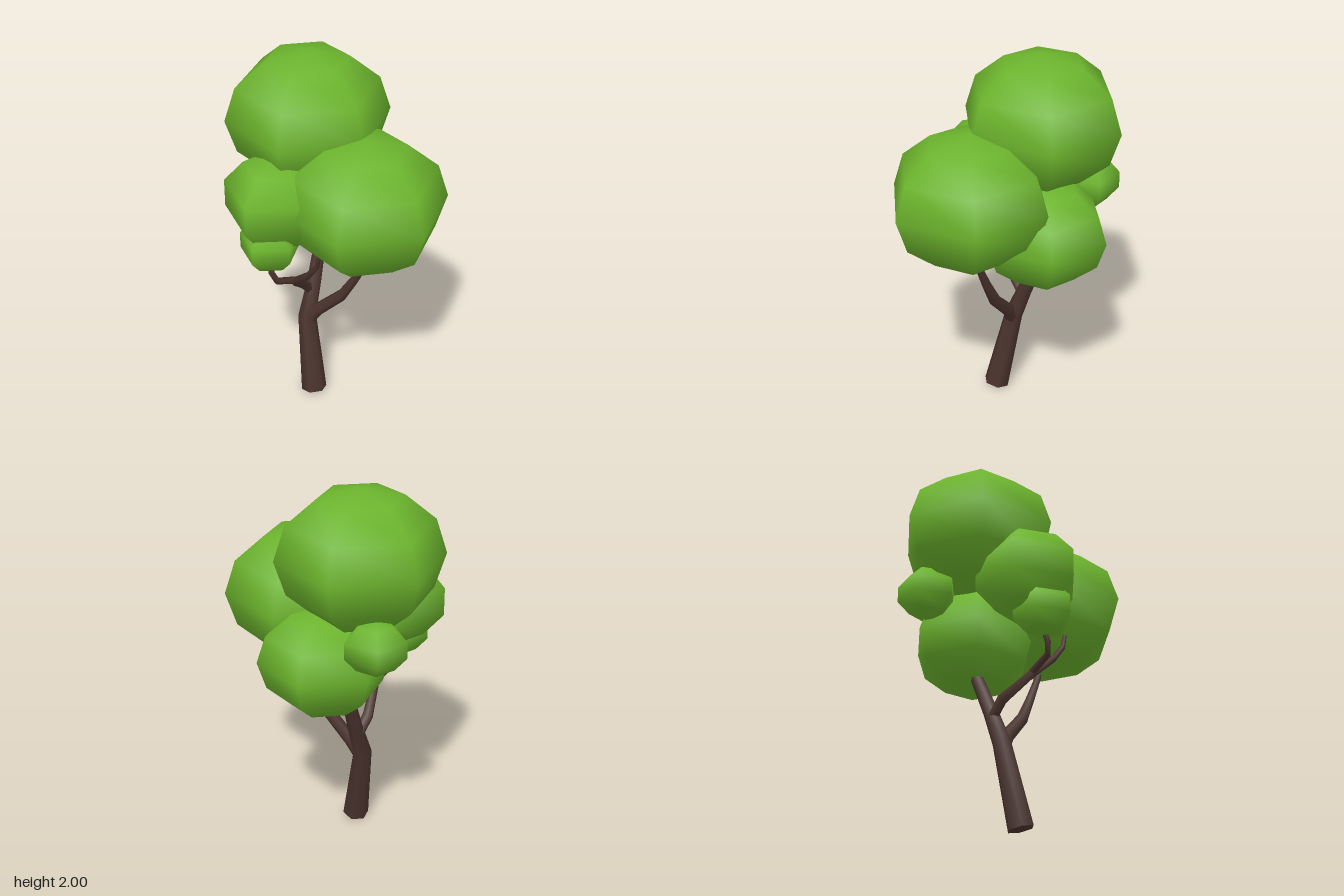
import * as THREE from 'three';

const leafGreen = new THREE.MeshStandardMaterial({ color: 0x6cb42d });
const barkBrown = new THREE.MeshStandardMaterial({ color: 0x4b342e });
leafGreen.name = 'leafGreen';
barkBrown.name = 'barkBrown';

// Tapered limb: six-sided rings swept along points [x, y, z, radius]
function limb(name, points, sides = 6) {
  const centres = points.map(([x, y, z]) => new THREE.Vector3(x, y, z));
  const last = centres.length - 1;
  const pos = [], normals = [], index = [];
  const addVertex = (p, n) => {
    pos.push(p.x, p.y, p.z);
    normals.push(n.x, n.y, n.z);
    return pos.length / 3 - 1;
  };
  const caps = [];
  centres.forEach((c, k) => {
    const t = centres[Math.min(k + 1, last)].clone().sub(centres[Math.max(k - 1, 0)]).normalize();
    const u = new THREE.Vector3(1, 0, 0).addScaledVector(t, -t.x).normalize();
    const v = t.clone().cross(u);
    const ring = [];
    for (let i = 0; i < sides; i++) {
      const a = (i / sides) * Math.PI * 2;
      const n = u.clone().multiplyScalar(Math.cos(a)).addScaledVector(v, Math.sin(a));
      const p = c.clone().addScaledVector(n, points[k][3]);
      addVertex(p, n);
      ring.push(p);
    }
    if (k === 0) caps.push({ c, ring, n: t.clone().negate(), start: true });
    if (k === last) caps.push({ c, ring, n: t, start: false });
  });
  // Side walls
  for (let k = 0; k < last; k++) {
    for (let i = 0; i < sides; i++) {
      const a = k * sides + i, b = k * sides + (i + 1) % sides;
      index.push(a, b, a + sides, b, b + sides, a + sides);
    }
  }
  // Flat ends
  for (const { c, ring, n, start } of caps) {
    const mid = addVertex(c, n);
    const rim = ring.map((p) => addVertex(p, n));
    for (let i = 0; i < sides; i++) {
      const a = rim[i], b = rim[(i + 1) % sides];
      if (start) index.push(mid, b, a);
      else index.push(mid, a, b);
    }
  }
  const geo = new THREE.BufferGeometry();
  geo.setAttribute('position', new THREE.Float32BufferAttribute(pos, 3));
  geo.setAttribute('normal', new THREE.Float32BufferAttribute(normals, 3));
  geo.setIndex(index);
  const mesh = new THREE.Mesh(geo, barkBrown);
  mesh.name = name;
  return mesh;
}

// Slightly squashed low-sided ball of leaves
function foliage(name, x, y, z, radius, segments) {
  const geo = new THREE.SphereGeometry(radius, segments, segments);
  geo.rotateY(Math.PI); // one corner points to +x
  geo.scale(1, 0.837, 1);
  geo.translate(x, y, z);
  const mesh = new THREE.Mesh(geo, leafGreen);
  mesh.name = name;
  return mesh;
}

export function createModel() {
  const tree = new THREE.Group();
  tree.name = 'tree';

  // Trunk and branches
  tree.add(
    limb('trunk', [
      [-0.035, 0.018, 0.07, 0.07], [-0.13, 0.46, 0.038, 0.05],
      [-0.152, 0.64, -0.03, 0.04], [-0.187, 0.83, -0.1, 0.034], [-0.2, 0.95, -0.15, 0.03],
    ]),
    limb('leftBranch', [
      [-0.125, 0.42, 0.04, 0.036], [-0.07, 0.52, 0.005, 0.036], [0.06, 0.66, -0.05, 0.032],
      [0.13, 0.79, -0.08, 0.025], [0.21, 0.96, -0.11, 0.018], [0.24, 1.05, -0.13, 0.016],
    ]),
    limb('frontBranch', [
      [-0.155, 0.59, -0.02, 0.03], [-0.145, 0.68, 0.06, 0.03], [-0.05, 0.8, 0.185, 0.024],
      [0.08, 0.915, 0.197, 0.018], [0.145, 1.0, 0.195, 0.014], [0.158, 1.07, 0.195, 0.012],
    ]),
    limb('frontTwig', [
      [-0.05, 0.805, 0.18, 0.02], [-0.04, 0.865, 0.31, 0.018],
      [-0.055, 0.92, 0.333, 0.016], [-0.075, 1.0, 0.32, 0.013],
    ]),
  );

  // Leaf masses
  const masses = [
    ['topFoliage', -0.225, 1.64, -0.06, 0.43, 6],
    ['leftFoliage', 0.22, 1.32, -0.06, 0.43, 6],
    ['backFoliage', -0.133, 1.097, -0.215, 0.345, 6],
    ['frontFoliage', -0.106, 1.31, 0.247, 0.291, 5],
    ['lowerFrontFoliage', -0.07, 1.092, 0.325, 0.168, 5],
    ['rightFoliage', -0.465, 1.275, -0.16, 0.168, 5],
  ];
  for (const m of masses) tree.add(foliage(...m));
  return tree;
}
